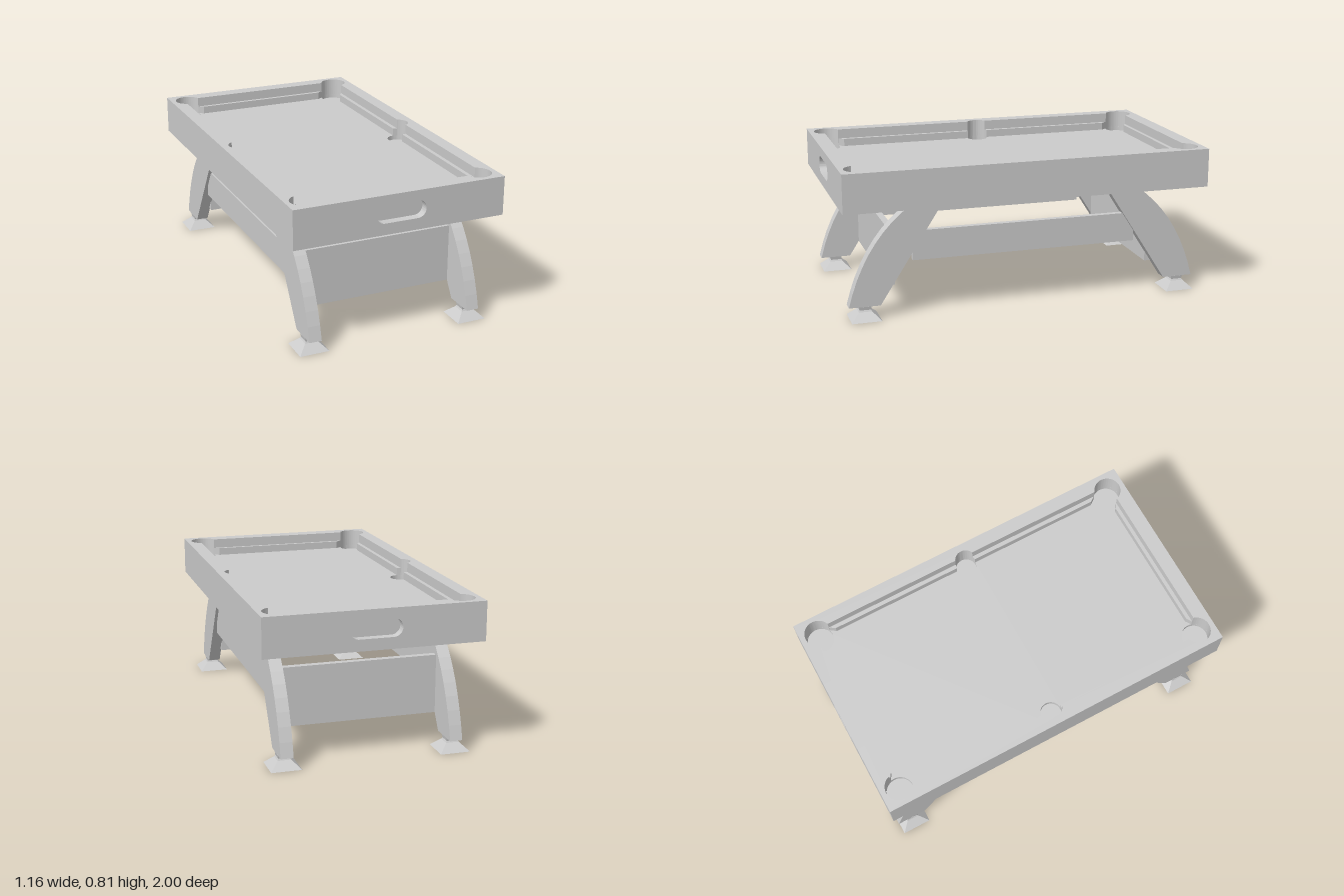
import * as THREE from 'three';
import { toCreasedNormals } from 'three/addons/utils/BufferGeometryUtils.js';

const material = new THREE.MeshStandardMaterial({ color: 0xcccccc });
const W = 0.58, L = 1, TOP = 0.81, BED = 0.715, FLOOR = 0.69, BASE = 0.6;
const NOTCH = 0.2, NOTCH_Z = 0.955;            // recess that takes the handle boards
const RAIL_X = 0.505, RAIL_Z = 0.92;           // inner faces of the rails
const CORNER = { x: 0.48, z: 0.9, r: 0.073 }, SIDE = { x: 0.483, z: 0, r: 0.057 };

const polygon = (pts) => new THREE.Shape(pts.map(([x, y]) => new THREE.Vector2(x, y)));

function add(parent, name, geometry) {
  const mesh = new THREE.Mesh(geometry, material);
  mesh.name = name;
  parent.add(mesh);
  return mesh;
}

function extrude(shape, depth, curveSegments = 24) {
  return new THREE.ExtrudeGeometry(shape, { depth, bevelEnabled: false, curveSegments });
}

// Horizontal slab with its outline in plan
function slab(shape, y0, y1) {
  const g = extrude(shape, y1 - y0);
  g.rotateX(-Math.PI / 2).translate(0, y0, 0);
  return toCreasedNormals(g, 0.5);
}

function cabinetOutline() {
  return polygon([
    [-W, -L], [-NOTCH, -L], [-NOTCH, -NOTCH_Z], [NOTCH, -NOTCH_Z], [NOTCH, -L], [W, -L],
    [W, L], [NOTCH, L], [NOTCH, NOTCH_Z], [-NOTCH, NOTCH_Z], [-NOTCH, L], [-W, L],
  ]);
}

// Playing area outline: straight rails joined by round pockets
function openingPath() {
  const { x, z, r } = CORNER, PI = Math.PI;
  const dx = RAIL_X - x, dz = RAIL_Z - z;
  const a = Math.acos((RAIL_X - SIDE.x) / SIDE.r);
  const b = -Math.acos(dx / r);
  const c = PI - Math.asin(dz / r);
  const path = new THREE.Path();
  for (const [s, turn] of [[1, 0], [-1, PI]]) {
    path.absarc(s * SIDE.x, 0, SIDE.r, turn - a, turn + a, false);
    path.absarc(s * x, s * z, r, turn + b, turn + c, false);
    path.absarc(-s * x, s * z, r, turn + PI - c, turn + PI - b, false);
  }
  path.closePath();
  return path;
}

function createCabinet() {
  const group = new THREE.Group();
  group.name = 'cabinet';
  add(group, 'cabinetBase', slab(cabinetOutline(), BASE, FLOOR));

  // Bed with pocket holes
  const bed = cabinetOutline();
  for (const s of [-1, 1]) {
    for (const p of [[SIDE, 0], [CORNER, 1], [CORNER, -1]]) {
      const hole = new THREE.Path();
      hole.absarc(s * p[0].x, p[1] * p[0].z, p[0].r, 0, Math.PI * 2, false);
      bed.holes.push(hole);
    }
  }
  add(group, 'playingBed', slab(bed, FLOOR, BED));

  const rails = cabinetOutline();
  rails.holes.push(openingPath());
  add(group, 'railFrame', slab(rails, BED, TOP));

  // Cushions with angled ends
  for (const s of [-1, 1]) {
    add(group, 'endCushion', slab(polygon([
      [-0.41, s * RAIL_Z], [-0.38, s * 0.9], [0.38, s * 0.9], [0.41, s * RAIL_Z],
    ]), BED, 0.757));
    for (const t of [-1, 1]) {
      add(group, 'sideCushion', slab(polygon([
        [s * RAIL_X, t * 0.0526], [s * 0.483, t * 0.057], [s * 0.483, t * 0.8], [s * RAIL_X, t * 0.83],
      ]), BED, 0.757));
    }
  }

  // End boards with a slotted hand grip
  const board = polygon([[-NOTCH, BASE], [NOTCH, BASE], [NOTCH, TOP], [-NOTCH, TOP]]);
  const slot = new THREE.Path();
  slot.absarc(0.09, 0.708, 0.047, -Math.PI / 2, Math.PI / 2, false);
  slot.absarc(-0.09, 0.708, 0.047, Math.PI / 2, Math.PI * 1.5, false);
  slot.closePath();
  board.holes.push(slot);
  const boardGeo = toCreasedNormals(extrude(board, L - NOTCH_Z).translate(0, 0, NOTCH_Z), 0.5);
  for (const turn of [0, Math.PI]) add(group, 'handleBoard', boardGeo).rotation.y = turn;
  return group;
}

function createLegs() {
  const group = new THREE.Group();
  group.name = 'legs';
  // Curved leg, drawn in side profile and extruded across
  const profile = new THREE.Shape();
  profile.moveTo(0.8, 0.07);
  profile.lineTo(0.968, 0.07);
  profile.quadraticCurveTo(0.879, 0.426, 0.63, BASE);
  profile.lineTo(0.46, BASE);
  profile.closePath();
  const width = 0.067;
  const legGeo = extrude(profile, width, 9).rotateY(-Math.PI / 2).translate(width / 2, 0, 0);

  // Square flared foot
  const footProfile = [[0, 0], [0.08, 0], [0.035, 0.043], [0.03, 0.052], [0.033, 0.07], [0, 0.07]]
    .map(([h, y]) => new THREE.Vector2(h * Math.SQRT2, y));
  const footGeo = toCreasedNormals(
    new THREE.LatheGeometry(footProfile, 4).rotateY(Math.PI / 4), 0.1);

  for (const sx of [-1, 1]) {
    for (const sz of [-1, 1]) {
      const leg = add(group, 'leg', legGeo);
      leg.position.x = sx * 0.449;
      leg.rotation.y = sz > 0 ? 0 : Math.PI;
      add(group, 'foot', footGeo).position.set(sx * 0.45, 0, sz * 0.882);
    }
  }
  return group;
}

export function createModel() {
  const model = new THREE.Group();
  model.name = 'poolTable';
  model.add(createCabinet(), createLegs());

  // Panels between the end legs, stretchers along the sides
  for (const s of [-1, 1]) {
    add(model, 'endPanel', new THREE.BoxGeometry(0.84, 0.315, 0.035)).position.set(0, 0.313, s * 0.7275);
    add(model, 'sideStretcher', new THREE.BoxGeometry(0.032, 0.16, 1.24)).position.set(s * 0.449, 0.375, 0);
  }
  return model;
}
